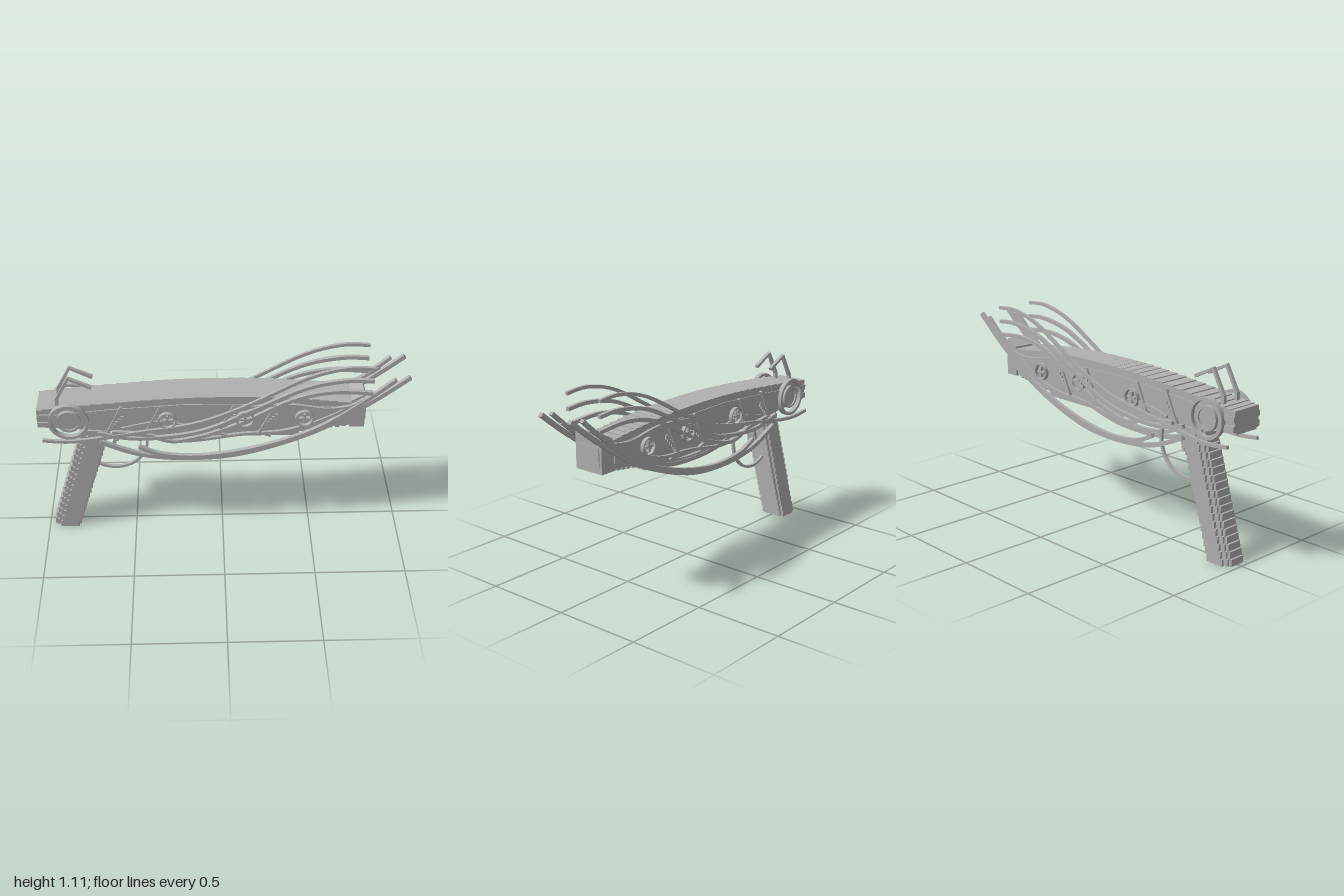
import * as THREE from 'three';

const grey = new THREE.MeshStandardMaterial({ color: 0xb0b0b0 });
grey.name = 'plain grey';

export function createModel() {
  const root = new THREE.Group();
  root.name = 'ornatePistol';

  const add = (name, geo, parent = root) => {
    const m = new THREE.Mesh(geo, grey);
    m.name = name;
    parent.add(m);
    return m;
  };
  // box given by its limits
  const box = (name, x0, x1, y0, y1, z0, z1, parent) => {
    const m = add(name, new THREE.BoxGeometry(x1 - x0, y1 - y0, z1 - z0), parent);
    m.position.set((x0 + x1) / 2, (y0 + y1) / 2, (z0 + z1) / 2);
    return m;
  };
  // outline in x, y extruded from z0 to z1
  const plate = (name, pts, z0, z1, parent) => {
    const shape = new THREE.Shape(pts.map(p => new THREE.Vector2(p[0], p[1])));
    const g = new THREE.ExtrudeGeometry(shape, { depth: z1 - z0, bevelEnabled: false });
    g.translate(0, 0, z0);
    return add(name, g, parent);
  };
  // flat ribbon of width w along a path
  const ribbon = (name, path, w, z0, z1, parent, smooth = true) => {
    let pts = path.map(p => new THREE.Vector2(p[0], p[1]));
    if (smooth) pts = new THREE.SplineCurve(pts).getPoints(36);
    const a = [], b = [];
    pts.forEach((p, i) => {
      const q = pts[Math.max(i - 1, 0)], r = pts[Math.min(i + 1, pts.length - 1)];
      const d = r.clone().sub(q).normalize().multiplyScalar(w / 2);
      a.push([p.x - d.y, p.y + d.x]);
      b.unshift([p.x + d.y, p.y - d.x]);
    });
    return plate(name, [...a, ...b], z0, z1, parent);
  };
  const ring = (name, x, y, r0, r1, z0, z1, parent) => {
    const s = new THREE.Shape().absarc(x, y, r1, 0, Math.PI * 2);
    s.holes.push(new THREE.Path().absarc(x, y, r0, 0, Math.PI * 2, true));
    const g = new THREE.ExtrudeGeometry(s, { depth: z1 - z0, bevelEnabled: false, curveSegments: 28 });
    g.translate(0, 0, z0);
    return add(name, g, parent);
  };

  // slide: stepped crown over a straight lower edge
  const topCurve = new THREE.SplineCurve([[-1, 0.842], [-0.75, 0.87], [-0.4, 0.9], [-0.1, 0.912],
    [0.2, 0.908], [0.45, 0.89], [0.69, 0.862]].map(p => new THREE.Vector2(...p)));
  const crown = topCurve.getPoints(32);
  const slide = [[-1, 0.73]];
  for (let i = 0; i < 32; i++) {
    const y = (crown[i].y + crown[i + 1].y) / 2;
    slide.push([crown[i].x, y], [crown[i + 1].x, y]);
  }
  slide.push([0.69, 0.735]);
  plate('slide', slide.reverse(), -0.09, 0.09);

  // frame below the slide
  plate('frame', [[-1, 0.74], [-1, 0.72], [-0.8, 0.705], [-0.62, 0.69], [-0.4, 0.67], [-0.17, 0.64],
    [0.42, 0.665], [0.55, 0.69], [0.69, 0.705], [0.69, 0.74]], -0.077, 0.077);
  box('underRail', -0.17, 0.42, 0.628, 0.67, -0.06, 0.06);
  for (let i = 0; i < 7; i++) {
    const x = 0.43 + i * 0.037;
    box('frameRib', x, x + 0.02, 0.66 + i * 0.005, 0.72, -0.07, 0.07);
  }

  // muzzle block
  plate('muzzle', [[0.69, 0.7], [0.77, 0.7], [0.77, 0.895], [0.76, 0.915], [0.69, 0.875]], -0.09, 0.09);
  box('muzzleFace', 0.76, 0.775, 0.735, 0.84, -0.075, 0.075);

  // raked grip made of stacked slices with floating side strips
  const n = 18, h = 0.69 / n;
  for (let i = 0; i < n; i++) {
    const x = -0.97 + 0.2 * i / (n - 1), y = i * h;
    box('gripSlice', x + 0.015, x + 0.15, y, y + h, -0.058, 0.058);
    box('gripSpine', x, x + 0.02, y, y + h, -0.045, 0.045);
    for (const s of [-1, 1]) {
      const z = s * 0.072;
      box('gripStrip', x + 0.035, x + 0.14, y, y + h, z - 0.007, z + 0.007);
    }
  }

  // trigger and its guard
  const arc = [];
  for (let i = 0; i <= 24; i++) {
    const a = (-125 + 165 * i / 24) * Math.PI / 180;
    arc.push([-0.6 + 0.182 * Math.cos(a), 0.56 + 0.182 * Math.sin(a)]);
  }
  ribbon('triggerGuard', arc, 0.015, -0.008, 0.008, root, false);
  ribbon('trigger', [[-0.57, 0.69], [-0.59, 0.61], [-0.605, 0.53]], 0.018, -0.028, 0.028);
  box('triggerPin', -0.6, -0.575, 0.58, 0.59, -0.03, 0.03);

  // bent sights
  for (const z of [-0.05, 0.05])
    ribbon('sight', [[-0.89, 0.85], [-0.89, 0.89], [-0.82, 1.02], [-0.7, 0.96]], 0.018, z - 0.01, z + 0.01, root, false);

  // ornament of one side, built at +z
  const ornament = (parent) => {
    plate('sidePanel', [[-0.93, 0.75], [-0.4, 0.72], [0.1, 0.7], [0.68, 0.74], [0.68, 0.83],
      [0.3, 0.862], [-0.2, 0.87], [-0.6, 0.845], [-0.93, 0.81]], 0.088, 0.096, parent);
    for (const y of [0.75, 0.8]) box('rearStub', -1, -0.92, y - 0.015, y + 0.015, 0.088, 0.098, parent);

    // rear hub
    ring('hubRim', -0.83, 0.775, 0.093, 0.11, 0.09, 0.118, parent);
    ring('hubInnerRing', -0.83, 0.775, 0.052, 0.066, 0.09, 0.112, parent);
    const hub = add('hubDisc', new THREE.CylinderGeometry(0.054, 0.054, 0.015, 28), parent);
    hub.rotation.x = Math.PI / 2;
    hub.position.set(-0.83, 0.775, 0.096);

    // crossed rosettes
    for (const x of [-0.3, 0.12, 0.44]) {
      ring('rosetteRing', x, 0.775, 0.042, 0.05, 0.09, 0.118, parent);
      box('rosetteBar', x - 0.03, x + 0.03, 0.769, 0.781, 0.09, 0.115, parent);
      box('rosetteBar', x - 0.006, x + 0.006, 0.745, 0.805, 0.09, 0.115, parent);
    }

    // slanted bars with little stairs
    for (const x of [-0.59, -0.38, 0.015, 0.24]) {
      ribbon('slantBar', [[x + 0.045, 0.865], [x - 0.045, 0.675]], 0.012, 0.09, 0.108, parent, false);
      ribbon('slantFoot', [[x - 0.04, 0.68], [x + 0.02, 0.655]], 0.012, 0.09, 0.105, parent, false);
      for (let i = 0; i < 6; i++) {
        const sx = x - 0.035 + i * 0.015, sy = 0.69 + i * 0.017;
        box('stair', sx, sx + 0.015, sy, sy + 0.028, 0.09, 0.104, parent);
      }
    }

    // sweeping strands: path, width, inner z, outer z
    const strands = [
      [[[-0.67, 0.635], [-0.45, 0.545], [-0.18, 0.515], [0.12, 0.545], [0.49, 0.68], [0.78, 0.865], [0.99, 1.03]], 0.024, 0.09, 0.112],
      [[[-0.46, 0.6], [-0.33, 0.545], [-0.1, 0.53], [0.2, 0.585], [0.5, 0.7], [0.74, 0.87], [0.915, 1.02]], 0.02, 0.095, 0.118],
      [[[-0.98, 0.66], [-0.8, 0.65], [-0.47, 0.7], [-0.15, 0.755], [0.12, 0.865], [0.44, 1.04], [0.65, 1.1], [0.8, 1.095]], 0.018, 0.106, 0.122],
      [[[-0.68, 0.7], [-0.45, 0.66], [-0.12, 0.7], [0.17, 0.84], [0.44, 0.975], [0.65, 1.02], [0.8, 1.015]], 0.02, 0.1, 0.12],
      [[[-0.6, 0.7], [-0.42, 0.68], [-0.24, 0.635], [0.06, 0.73], [0.36, 0.89], [0.58, 0.945], [0.8, 0.935]], 0.02, 0.095, 0.115],
      [[[-0.55, 0.72], [-0.35, 0.76], [-0.15, 0.74], [0.1, 0.84], [0.35, 0.86], [0.58, 0.83], [0.8, 0.87]], 0.014, 0.09, 0.106],
      [[[-0.4, 0.67], [-0.2, 0.63], [0.1, 0.67], [0.35, 0.69], [0.6, 0.79], [0.86, 0.96]], 0.016, 0.09, 0.106],
    ];
    for (const [path, w, z0, z1] of strands) ribbon('strand', path, w, z0, z1, parent);
  };
  // the far side repeats the ornament with mirrored depth
  for (const s of [1, -1]) {
    const g = new THREE.Group();
    g.name = s > 0 ? 'frontOrnament' : 'backOrnament';
    g.scale.z = s;
    ornament(g);
    root.add(g);
  }
  return root;
}
